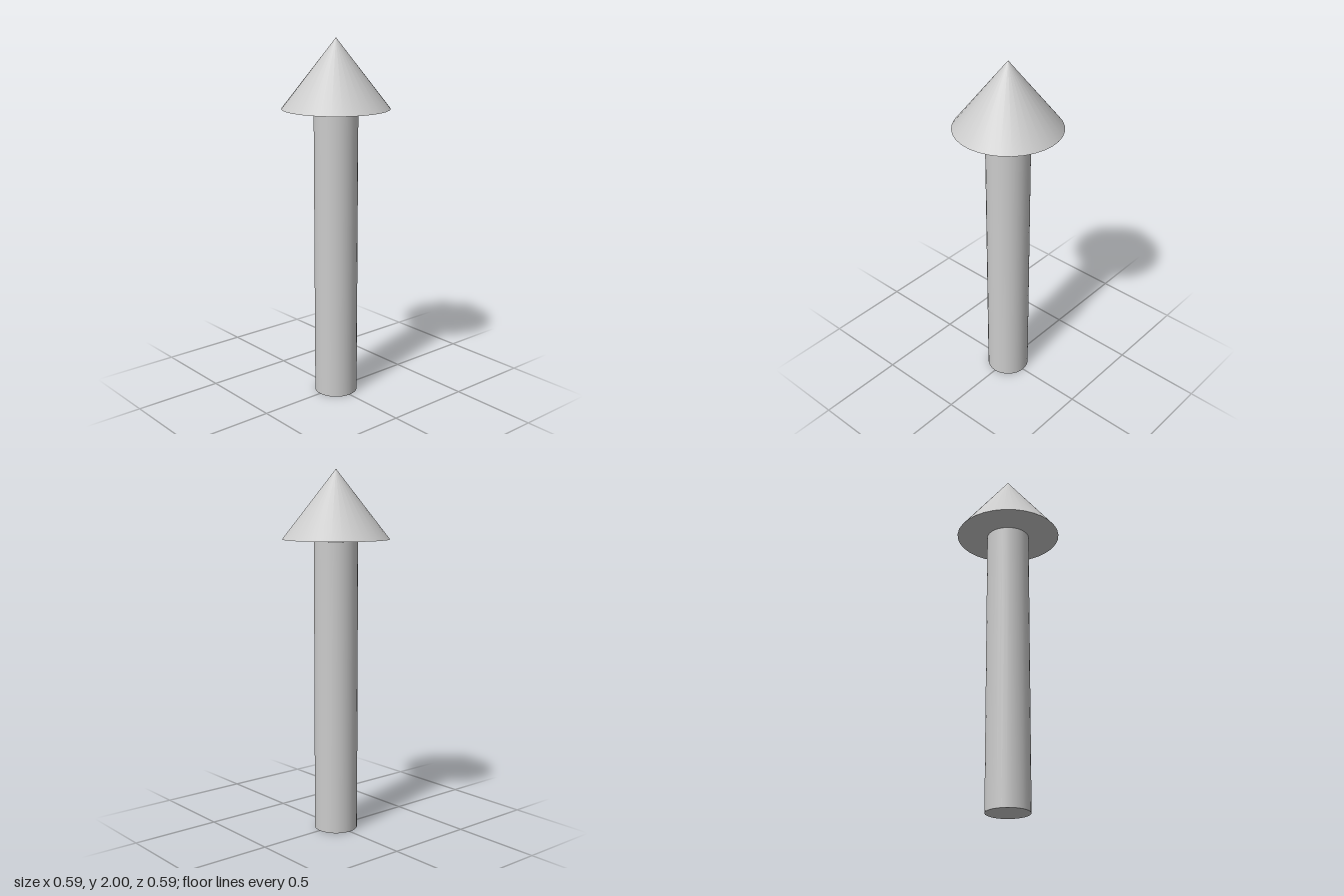
import * as THREE from 'three';

const SIDES = 32;

export function createModel() {
  const model = new THREE.Group();
  const material = new THREE.MeshStandardMaterial({ color: 0xcccccc });

  const addPart = (name, geometry, y) => {
    const mesh = new THREE.Mesh(geometry, material);
    mesh.name = name;
    mesh.position.y = y;
    model.add(mesh);
  };

  // Straight round shaft, reaching just into the head
  const shaftHeight = 1.616;
  addPart('shaft', new THREE.CylinderGeometry(0.12, 0.12, shaftHeight, SIDES), shaftHeight / 2);

  // Conical head with a sharp rim
  const rimY = 1.626, rimRadius = 0.293, headHeight = 2 - rimY;
  addPart('headCone', new THREE.ConeGeometry(rimRadius, headHeight, SIDES, 1, true), rimY + headHeight / 2);

  // Underside of the head, dipping slightly towards the shaft
  const dip = 0.017;
  addPart('headUnderside', new THREE.CylinderGeometry(rimRadius, 0, dip, SIDES, 1, true), rimY - dip / 2);

  return model;
}
